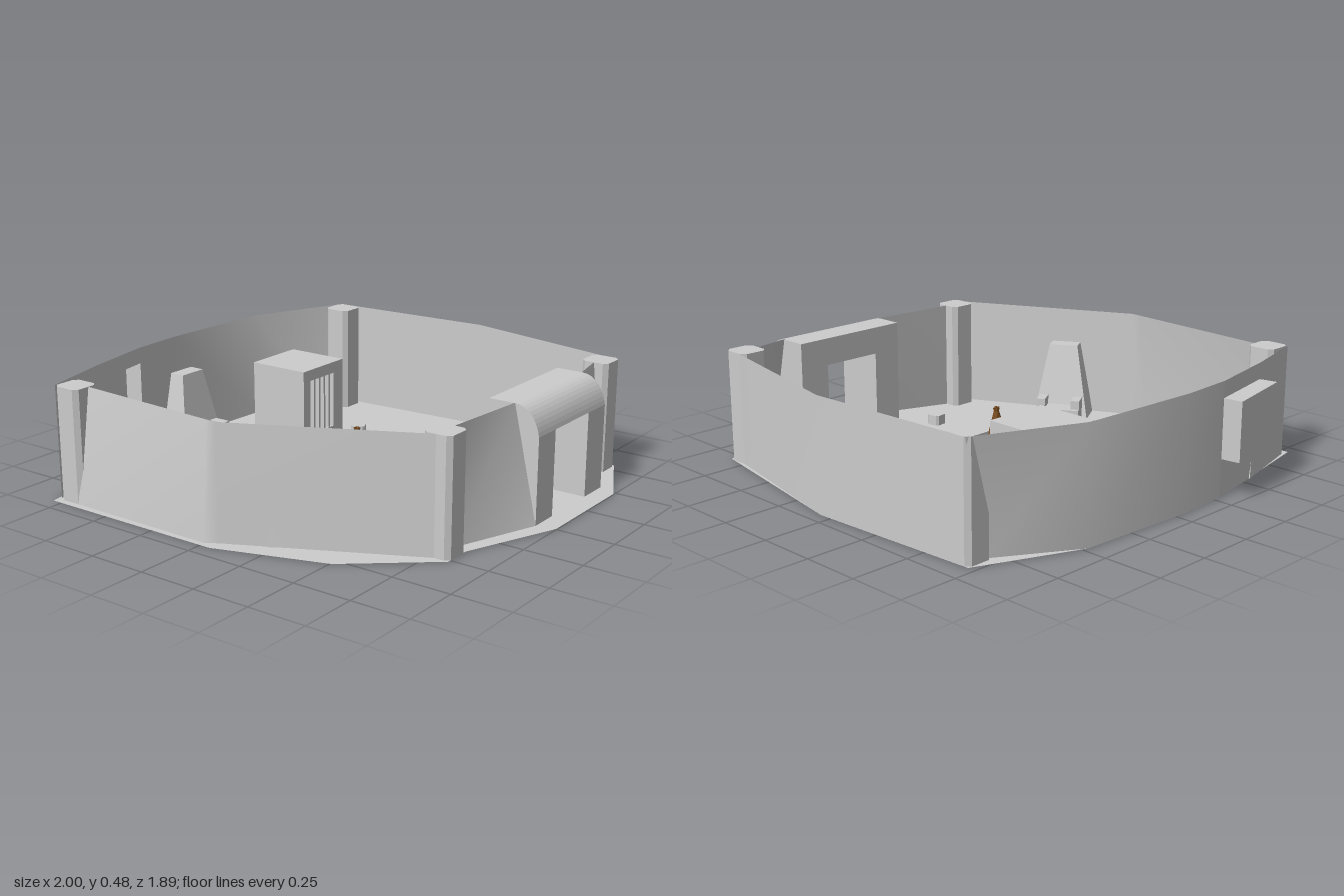
import * as THREE from 'three';

export function createModel() {
  const model = new THREE.Group();
  const stone = new THREE.MeshStandardMaterial({ color: 0xcccccc, side: THREE.DoubleSide });
  stone.name = 'pale grey stone';
  const olive = new THREE.MeshStandardMaterial({ color: 0x28260f });
  olive.name = 'dark olive';
  const brown = new THREE.MeshStandardMaterial({ color: 0x80501f });
  brown.name = 'wood brown';

  const add = (name, geo, mat, parent = model) => {
    const mesh = new THREE.Mesh(geo, mat);
    mesh.name = name;
    parent.add(mesh);
    return mesh;
  };
  const group = (name, x, z, turn = 0) => {
    const g = new THREE.Group();
    g.name = name;
    g.position.set(x, 0, z);
    g.rotation.y = turn;
    model.add(g);
    return g;
  };
  // box given by its min and max corners
  const block = (name, a, b, mat, parent) => add(name,
    new THREE.BoxGeometry(b[0] - a[0], b[1] - a[1], b[2] - a[2])
      .translate((a[0] + b[0]) / 2, (a[1] + b[1]) / 2, (a[2] + b[2]) / 2), mat, parent);
  // strip between a lower and an upper line of points
  const ribbon = (name, low, high, parent = model) => {
    const geo = new THREE.BufferGeometry(), index = [];
    geo.setAttribute('position', new THREE.Float32BufferAttribute([...low, ...high].flat(), 3));
    const n = low.length;
    for (let i = 0; i < n - 1; i++) index.push(i, i + 1, n + i, i + 1, n + i + 1, n + i);
    geo.setIndex(index);
    geo.computeVertexNormals();
    return add(name, geo, stone, parent);
  };
  const at = (pts, y) => pts.map(([x, z]) => [x, y, z]);
  const wall = (name, low, high = low, y0 = 0, y1 = 0.48) => ribbon(name, at(low, y0), at(high, y1));

  // Floor sheet
  const outline = [[-0.72, -0.91], [0.05, -0.95], [0.84, -0.8], [1, -0.48], [1, 0], [0.84, 0.4], [0.84, 0.52],
    [0.51, 0.79], [0.05, 0.94], [-0.79, 0.94], [-0.92, 0.28], [-0.93, 0.05], [-0.9, -0.48]];
  const floorShape = new THREE.Shape(outline.map(([x, z]) => new THREE.Vector2(x, -z)));
  add('floor', new THREE.ShapeGeometry(floorShape).rotateX(-Math.PI / 2), stone);

  // Outer walls, thin and slightly leaning
  wall('frontWall', [[0.82, 0.5], [0.05, 0.885], [0, 0.915], [-0.72, 0.91]],
    [[0.82, 0.5], [0.05, 0.885], [0, 0.882], [-0.72, 0.835]]);
  wall('backWall', [[-0.68, -0.91], [0.05, -0.95], [0.8, -0.79]]);
  wall('sideWall', [[-0.92, 0.28], [-0.93, 0.05], [-0.9, -0.48], [-0.7, -0.81]],
    [[-0.92, 0.28], [-0.93, 0.05], [-0.9, -0.48], [-0.71, -0.91]]);

  // Side wall with an alcove built out of it
  const w0 = [-0.92, 0.28], w1 = [-0.86, 0.6], w2 = [-0.785, 0.9];
  const o0 = [-1, 0.29], o1 = [-0.935, 0.615];
  wall('wallBelowAlcove', [w1, w0], [w1, w0], 0, 0.16);
  wall('wallAboveAlcove', [w1, w0], [w1, w0], 0.41, 0.48);
  wall('wallBesideAlcove', [w2, w1]);
  wall('alcoveBack', [o1, o0], [o1, o0], 0.16, 0.41);
  wall('alcoveEndA', [o0, w0], [o0, w0], 0.16, 0.41);
  wall('alcoveEndB', [w1, o1], [w1, o1], 0.16, 0.41);
  ribbon('alcoveFloor', at([w0, w1], 0.16), at([o0, o1], 0.16));
  ribbon('alcoveRoof', at([w1, w0], 0.41), at([o1, o0], 0.41));

  // Corner pillars with bevelled edges
  const r = 0.061, c = 0.042;
  const pillarShape = new THREE.Shape([[r, -c], [r, c], [c, r], [-c, r], [-r, c], [-r, -c], [-c, -r], [c, -r]]
    .map(([x, y]) => new THREE.Vector2(x, y)));
  for (const [x, z] of [[-0.66, -0.85], [0.78, -0.74], [0.78, 0.46], [-0.72, 0.85]]) {
    add('pillar', new THREE.ExtrudeGeometry(pillarShape, { depth: 0.48, bevelEnabled: false })
      .rotateX(-Math.PI / 2), stone).position.set(x, 0, z);
  }

  // Gatehouse: two piers and a lintel with a rounded outer shoulder
  const gateSlice = (name, y0, z0, z1) => {
    const s = new THREE.Shape();
    s.moveTo(0.695, y0);
    s.lineTo(0.92, y0);
    s.lineTo(0.92, 0.36);
    s.bezierCurveTo(0.91, 0.42, 0.875, 0.478, 0.81, 0.478);
    s.lineTo(0.695, 0.478);
    s.closePath();
    add(name, new THREE.ExtrudeGeometry(s, { depth: z1 - z0, bevelEnabled: false, curveSegments: 10 })
      .translate(0, 0, z0), stone);
  };
  gateSlice('gatePier', 0, -0.52, -0.38);
  gateSlice('gatePier', 0, -0.11, 0.02);
  gateSlice('gateLintel', 0.36, -0.38, -0.11);
  // Slanting wing walls beside the gate
  wall('gateWing', [[0.92, 0.02], [0.78, 0.4]], [[0.81, 0.02], [0.78, 0.4]]);
  wall('gateWing', [[0.78, -0.68], [0.92, -0.52]], [[0.78, -0.68], [0.81, -0.52]]);

  // Cage: hollow hut with a slotted face towards the gate
  const cage = group('cage', -0.507, -0.307);
  const h = 0.142;
  block('cageRoof', [-h, 0.34, -h], [h, 0.36, h], stone, cage);
  block('cageBack', [-h, 0, -h], [-h + 0.01, 0.34, h], stone, cage);
  for (const s of [-1, 1]) block('cageSide', [-h, 0, s * h - (s > 0 ? 0.01 : 0)], [h, 0.34, s * h + (s > 0 ? 0 : 0.01)], stone, cage);
  const face = new THREE.Shape([[-h, 0], [h, 0], [h, 0.34], [-h, 0.34]].map(p => new THREE.Vector2(...p)));
  for (let i = 0; i < 5; i++) {
    const x = -0.095 + i * 0.036;
    face.holes.push(new THREE.Path([[x, 0.06], [x, 0.31], [x + 0.025, 0.31], [x + 0.025, 0.06]]
      .map(p => new THREE.Vector2(...p))));
  }
  add('cageBars', new THREE.ExtrudeGeometry(face, { depth: 0.01, bevelEnabled: false })
    .rotateY(Math.PI / 2).translate(h - 0.01, 0, 0), stone, cage);

  // Leaning logs, used in the cage and on the hearth
  const logPile = (parent, x, y, z, radius, height) => {
    for (let i = 0; i < 6; i++) {
      const a = i * Math.PI / 3;
      const foot = new THREE.Vector3(x + Math.cos(a) * radius, y, z + Math.sin(a) * radius);
      const tip = new THREE.Vector3(x - Math.cos(a) * 0.006, y + height * (i % 2 ? 0.8 : 1), z - Math.sin(a) * 0.006);
      add('log', new THREE.TubeGeometry(new THREE.LineCurve3(foot, tip), 1, 0.011, 5), brown, parent);
    }
  };
  block('cageBundle', [-0.05, 0.1, -0.05], [0.02, 0.19, 0.05], brown, cage);
  logPile(cage, 0, 0.06, 0, 0.04, 0.23);

  // Hearth: stepped cross with a log pile
  const hearth = group('hearth', 0.045, -0.003);
  block('hearthBar', [-0.125, 0, -0.03], [0.125, 0.045, 0.03], olive, hearth);
  block('hearthBar', [-0.03, 0, -0.115], [0.03, 0.044, 0.115], olive, hearth);
  block('hearthMiddle', [-0.07, 0, -0.065], [0.07, 0.046, 0.065], olive, hearth);
  logPile(hearth, 0, 0.04, 0, 0.055, 0.19);

  // Bed with a pillow
  block('bed', [-0.23, -0.003, 0.375], [-0.09, 0.045, 0.68], olive);
  block('pillow', [-0.231, 0.02, 0.603], [-0.089, 0.06, 0.681], brown);

  // Thrones: tapered back, stepped seat and arms, facing the middle
  const throne = (x, z, fx, fz) => {
    const g = group('throne', x, z, Math.atan2(fx, fz));
    const back = new THREE.BoxGeometry(0.25, 0.33, 0.145).translate(0, 0.165, -0.072);
    const p = back.attributes.position;
    for (let i = 0; i < p.count; i++) {
      if (p.getY(i) > 0.1) p.setXYZ(i, p.getX(i) * 0.52, p.getY(i), p.getZ(i) > -0.05 ? -0.06 : -0.13);
    }
    back.computeVertexNormals();
    add('throneBack', back, stone, g);
    block('throneSeat', [-0.1, 0, -0.04], [0.1, 0.06, 0.08], stone, g);
    for (const s of [-1, 1]) {
      block('throneArm', [s * 0.08 - 0.02, 0, -0.05], [s * 0.08 + 0.02, 0.1, 0.06], stone, g);
    }
  };
  throne(-0.77, 0.045, 1, 0);
  throne(-0.7, 0.62, 0.95, -0.3);
  throne(0.25, 0.62, -0.51, -0.86);

  // Low stools
  for (const [x, z, turn] of [[-0.31, -0.5, 0.5], [0.59, 0.155, 0.15], [-0.55, 0.53, 0]]) {
    const stool = add('stool', new THREE.ExtrudeGeometry(pillarShape, { depth: 0.045, bevelEnabled: false })
      .scale(0.52, 0.52, 1).rotateX(-Math.PI / 2), stone);
    stool.position.set(x, 0, z);
    stool.rotation.y = turn;
  }
  return model;
}
